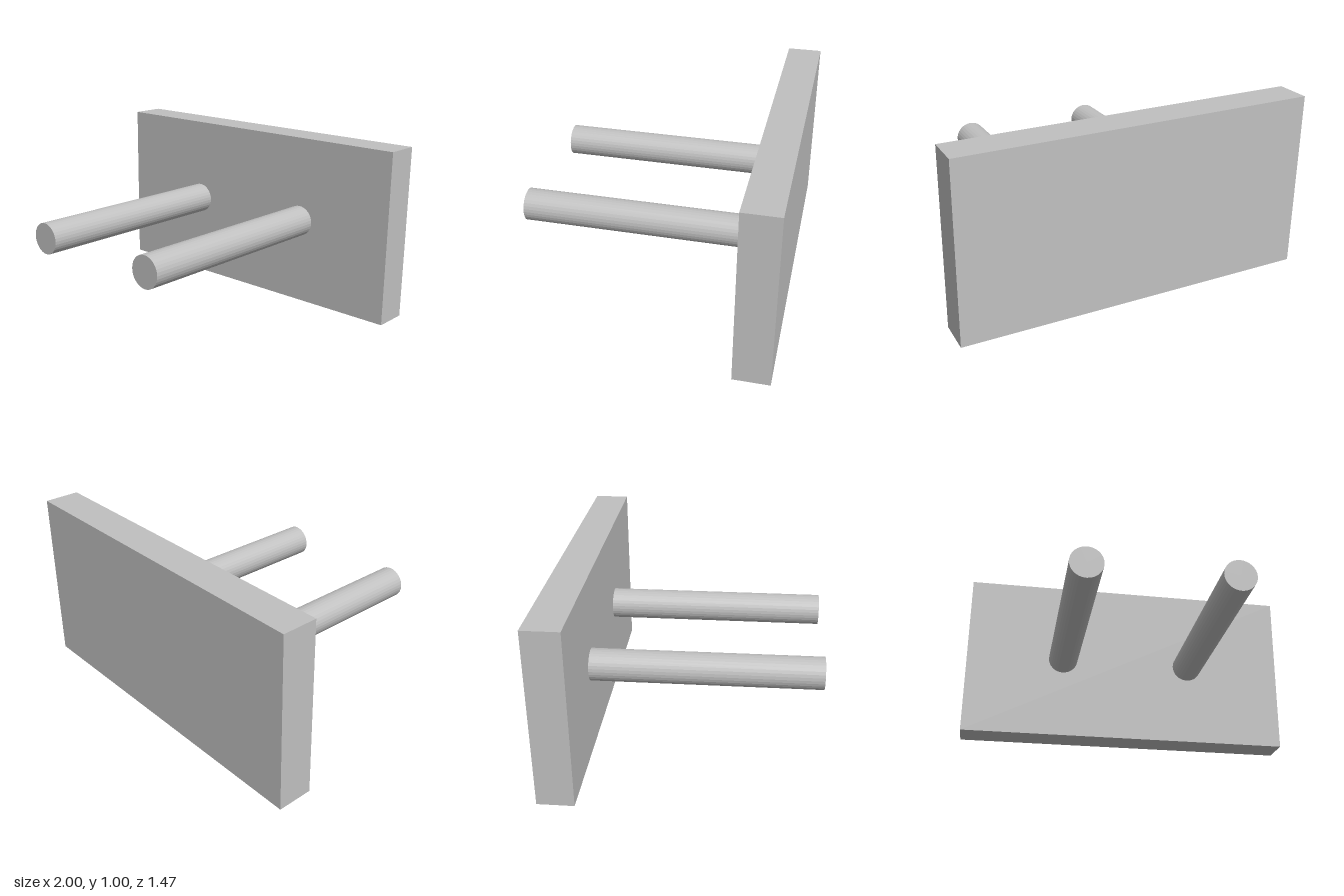
import * as THREE from 'three';

const HALF_DEPTH = 0.735;
const PLATE_THICKNESS = 0.2;
const ROD_RADIUS = 0.09;

export function createModel() {
  const group = new THREE.Group();
  const grey = new THREE.MeshStandardMaterial({ color: 0xc0c0c0, flatShading: true });
  grey.name = 'light grey';

  // Upright back plate
  const plate = new THREE.Mesh(new THREE.BoxGeometry(2, 1, PLATE_THICKNESS), grey);
  plate.name = 'backPlate';
  plate.position.set(0, 0.5, -HALF_DEPTH + PLATE_THICKNESS / 2);
  group.add(plate);

  // Two round rods reaching forward from the plate
  const length = 2 * HALF_DEPTH - PLATE_THICKNESS;
  const rodGeometry = new THREE.CylinderGeometry(ROD_RADIUS, ROD_RADIUS, length, 32);
  rodGeometry.rotateX(Math.PI / 2);
  for (const [name, side] of [['leftRod', 1], ['rightRod', -1]]) {
    const rod = new THREE.Mesh(rodGeometry, grey);
    rod.name = name;
    rod.position.set(side * 0.4, 0.5, HALF_DEPTH - length / 2);
    group.add(rod);
  }

  return group;
}
